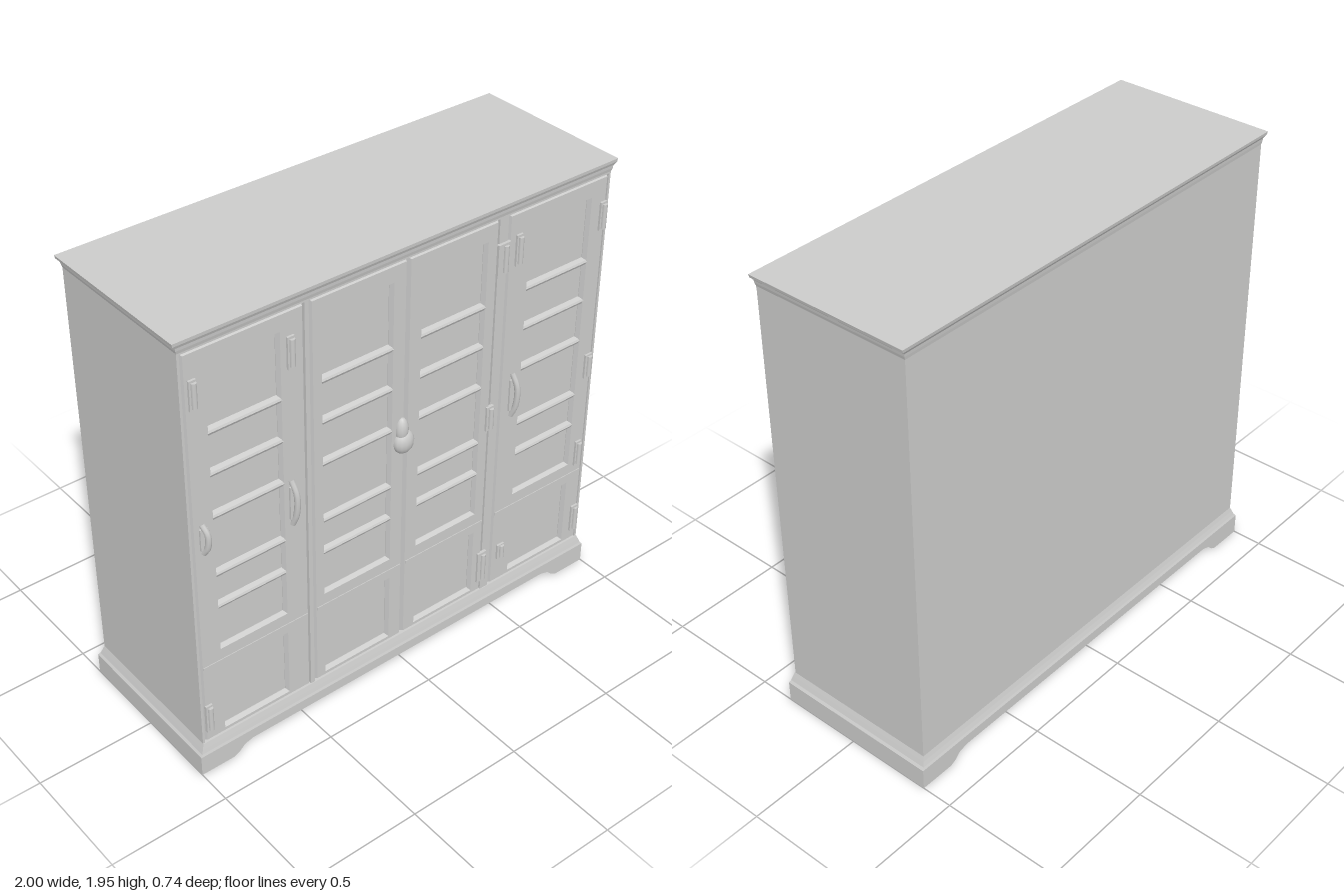
import * as THREE from 'three';

const paint = new THREE.MeshStandardMaterial({ color: 0xcccccb });
paint.name = 'pale grey paint';

const FACE = 0.335; // front plane of the doors
const BED = 0.315;  // bottom of the recessed panels

function add(parent, name, geometry, x = 0, y = 0, z = 0) {
  const mesh = new THREE.Mesh(geometry, paint);
  mesh.name = name;
  mesh.position.set(x, y, z);
  parent.add(mesh);
  return mesh;
}

// Box from its limits
function block(parent, name, x0, x1, y0, y1, z0, z1) {
  return add(parent, name, new THREE.BoxGeometry(x1 - x0, y1 - y0, z1 - z0),
    (x0 + x1) / 2, (y0 + y1) / 2, (z0 + z1) / 2);
}

// Closed stack of rectangles, each ring = [y, half width, back z, front z]
function stackedRects(rings) {
  const pos = [];
  const corners = rings.map(([y, h, b, f]) => [[-h, y, f], [h, y, f], [h, y, b], [-h, y, b]]);
  const quad = (a, b, c, d) => [a, b, c, a, c, d].forEach((p) => pos.push(...p));
  for (let i = 0; i < corners.length - 1; i++) {
    const lo = corners[i], hi = corners[i + 1];
    for (let k = 0; k < 4; k++) quad(lo[k], lo[(k + 1) % 4], hi[(k + 1) % 4], hi[k]);
  }
  const [p, q] = [corners[0], corners[corners.length - 1]];
  quad(p[3], p[2], p[1], p[0]);
  quad(q[0], q[1], q[2], q[3]);
  const g = new THREE.BufferGeometry();
  g.setAttribute('position', new THREE.Float32BufferAttribute(pos, 3));
  g.computeVertexNormals();
  return g;
}

function polygon(points, Type = THREE.Shape) {
  return new Type(points.map(([x, y]) => new THREE.Vector2(x, y)));
}
const rect = (x0, x1, y0, y1) => [[x0, y0], [x1, y0], [x1, y1], [x0, y1]];

// Door leaf with two bevelled openings and five ledges in the upper one
function makeDoor(name, x0, x1, p0, p1) {
  const door = new THREE.Group();
  door.name = name;
  const e = 0.008, bevel = 0.018;
  const leaf = polygon(rect(x0 + e, x1 - e, 0.15, 1.88));
  for (const [y0, y1] of [[0.155 + e, 0.47], [0.565, 1.815]]) {
    leaf.holes.push(polygon(rect(p0, p1, y0, y1).reverse(), THREE.Path));
  }
  const g = new THREE.ExtrudeGeometry(leaf, {
    depth: 0.01, bevelEnabled: true, bevelThickness: bevel, bevelSize: e, bevelSegments: 1,
  });
  add(door, 'doorLeaf', g, 0, 0, FACE - bevel - 0.01);

  const profile = polygon([[0, -0.018], [0.016, -0.01], [0.022, 0.002], [0.018, 0.01], [0, 0.018]]);
  const ledge = new THREE.ExtrudeGeometry(profile, { depth: p1 - p0 + 0.004, bevelEnabled: false });
  ledge.rotateY(-Math.PI / 2); // profile depth now points to +z, length to -x
  for (const y of [0.765, 0.915, 1.175, 1.36, 1.535]) {
    add(door, 'panelLedge', ledge, p1 + 0.002, y, BED - 0.001);
  }
  // slim moulding between the upper and lower panels
  block(door, 'midMoulding', x0 + 0.01, x1 - 0.01, 0.503, 0.515, FACE - 0.01, FACE + 0.003);
  return door;
}

// Hinge: leaf plate with a knuckle barrel
function makeHinge(x, y, w, h) {
  const hinge = new THREE.Group();
  hinge.name = 'hinge';
  hinge.position.set(x, y, FACE);
  block(hinge, 'hingePlate', -w / 2, w / 2, -h / 2, h / 2, -0.005, 0.009);
  add(hinge, 'hingeBarrel', new THREE.CylinderGeometry(0.011, 0.011, h * 0.85, 8), w * 0.1, 0, 0.01);
  return hinge;
}

// Pull: slim bowed grip on a back plate
function makePull(x, y, w, h) {
  const pull = new THREE.Group();
  pull.name = 'pullHandle';
  pull.position.set(x, y, FACE);
  const curve = new THREE.CatmullRomCurve3([
    new THREE.Vector3(0, -h / 2, 0), new THREE.Vector3(w * 0.12, -h * 0.25, 0.018),
    new THREE.Vector3(w * 0.12, h * 0.2, 0.022), new THREE.Vector3(-w * 0.1, h / 2, 0),
  ]);
  add(pull, 'pullGrip', new THREE.TubeGeometry(curve, 12, 0.012, 8));
  block(pull, 'pullPlate', -w * 0.4, w * 0.4, -h * 0.36, h * 0.36, -0.005, 0.008);
  return pull;
}

export function createModel() {
  const cabinet = new THREE.Group();
  cabinet.name = 'cabinet';

  // Carcass and the narrow face frame
  block(cabinet, 'carcass', -0.977, 0.977, 0.09, 1.9, -0.352, BED);
  for (const [x0, x1] of [[-0.977, -0.967], [-0.464, -0.446], [0.42, 0.462], [0.967, 0.977]]) {
    block(cabinet, 'frameStile', x0, x1, 0.12, 1.9, BED - 0.01, FACE - 0.003);
  }
  block(cabinet, 'frameTopRail', -0.977, 0.977, 1.888, 1.91, BED - 0.01, FACE - 0.002);

  // Cornice
  add(cabinet, 'cornice', stackedRects([
    [1.895, 0.977, -0.352, 0.333], [1.908, 0.981, -0.354, 0.336], [1.92, 0.983, -0.355, 0.337],
    [1.932, 0.995, -0.362, 0.342], [1.945, 0.998, -0.364, 0.343],
  ]));

  // Plinth moulding above a hollow base
  add(cabinet, 'plinthMoulding', stackedRects([
    [0.075, 1.0, -0.37, 0.35], [0.09, 1.0, -0.37, 0.35], [0.1, 0.992, -0.365, 0.346],
    [0.118, 0.985, -0.358, 0.341], [0.138, 0.977, -0.352, 0.335],
  ]));
  // Front and back aprons with bracket feet
  const half = [[1.0, 0], [1.0, 0.08]];
  const arch = [[0.85, 0], [0.825, 0.012], [0.8, 0.036], [0.76, 0.047]];
  const mirror = (list) => list.map(([x, y]) => [-x, y]);
  const apron = new THREE.ExtrudeGeometry(
    polygon([...half, ...mirror(half).reverse(), ...mirror(arch), ...arch.slice().reverse()]),
    { depth: 0.035, bevelEnabled: false });
  add(cabinet, 'frontApron', apron, 0, 0, 0.315);
  add(cabinet, 'backApron', apron, 0, 0, -0.37);
  for (const s of [-1, 1]) {
    block(cabinet, 'sidePlinth', s * 0.9825 - 0.0175, s * 0.9825 + 0.0175, 0, 0.08, -0.34, 0.32);
  }

  // Doors: leaf limits, then panel limits
  [
    ['leftmostDoor', -0.965, -0.468, -0.875, -0.57],
    ['innerDoorA', -0.442, -0.013, -0.395, -0.075],
    ['innerDoorB', -0.007, 0.416, 0.055, 0.365],
    ['rightmostDoor', 0.466, 0.965, 0.57, 0.885],
  ].forEach((d) => cabinet.add(makeDoor(...d)));

  // Hinges: x, y, width, height
  [
    [-0.93, 1.72, 0.03, 0.12], [-0.53, 1.72, 0.03, 0.13], [0.44, 1.72, 0.06, 0.13],
    [0.515, 1.73, 0.03, 0.13], [0.945, 1.72, 0.03, 0.12], [0.412, 1.02, 0.035, 0.11],
    [0.94, 1.04, 0.035, 0.11], [0.928, 0.61, 0.03, 0.12], [-0.945, 0.26, 0.03, 0.13],
    [0.412, 0.27, 0.045, 0.15], [0.515, 0.3, 0.035, 0.07], [0.94, 0.26, 0.035, 0.13],
  ].forEach((h) => cabinet.add(makeHinge(...h)));

  // Pulls on the outer doors
  [[-0.92, 1.11, 0.04, 0.13], [-0.535, 1.08, 0.035, 0.2], [0.53, 1.08, 0.045, 0.2]]
    .forEach((p) => cabinet.add(makePull(...p)));

  // Central latch: rounded knob with a tapering tongue
  const knob = add(cabinet, 'latchKnob', new THREE.SphereGeometry(1, 14, 10), -0.02, 1.11, FACE);
  knob.scale.set(0.046, 0.052, 0.035);
  const tongue = add(cabinet, 'latchTongue', new THREE.SphereGeometry(1, 12, 8), -0.028, 1.165, FACE);
  tongue.scale.set(0.028, 0.055, 0.025);

  return cabinet;
}
